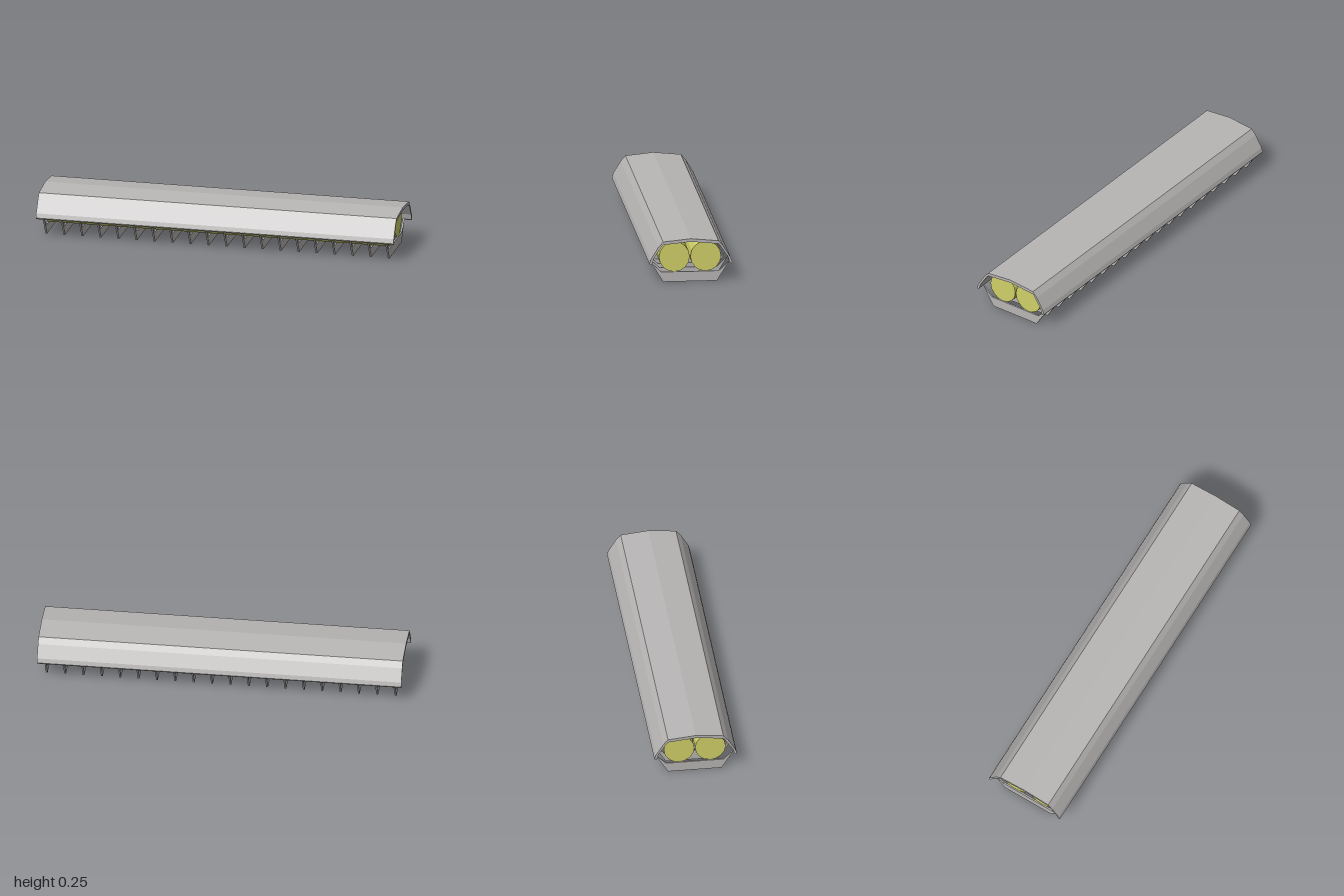
import * as THREE from 'three';

const grey = new THREE.MeshStandardMaterial({ color: 0xb8b6b5 });
grey.name = 'painted metal';
const yellow = new THREE.MeshStandardMaterial({ color: 0xd0d068 });
yellow.name = 'lamp yellow';
grey.flatShading = yellow.flatShading = true;

// Mirrored outline from half-profile [z, y] points, extruded along x and centred
function extrudeAlongX(outline, length) {
  const shape = new THREE.Shape(outline.map(([z, y]) => new THREE.Vector2(z, y)));
  const geo = new THREE.ExtrudeGeometry(shape, { depth: length, bevelEnabled: false });
  geo.translate(0, 0, -length / 2);
  geo.rotateY(Math.PI / 2);
  return geo;
}

const mirror = (points) => points.filter(([z]) => z !== 0).map(([z, y]) => [-z, y]).reverse();

export function createModel() {
  const model = new THREE.Group();
  model.name = 'lightFixture';

  const add = (name, geometry, material, x = 0, y = 0, z = 0) => {
    const mesh = new THREE.Mesh(geometry, material);
    mesh.name = name;
    mesh.position.set(x, y, z);
    model.add(mesh);
  };

  // Folded sheet cover, open at both ends and below
  const outer = [[0, 0.248], [0.152, 0.233], [0.178, 0.203], [0.219, 0.136], [0.227, 0.112], [0.222, 0.104]];
  const inner = [[0.213, 0.11], [0.203, 0.142], [0.161, 0.205], [0.151, 0.216], [0, 0.231]];
  const half = [...outer, ...inner];
  add('cover', extrudeAlongX([...half, ...mirror(half)], 2), grey);

  // Two sixteen-sided lamp tubes
  const tube = new THREE.CylinderGeometry(0.084, 0.084, 1.912, 16);
  tube.rotateZ(Math.PI / 2);
  for (const side of [1, -1]) {
    add(side > 0 ? 'frontTube' : 'backTube', tube, yellow, -0.002, 0.138, side * 0.086);
  }

  // Row of cross louvres hanging from the cover's lips
  const louvreHalf = [[0.147, 0], [0.217, 0.112], [0.157, 0.055]];
  const louvre = extrudeAlongX([...louvreHalf, ...mirror(louvreHalf)], 0.009);
  const count = 20;
  for (let i = 0; i < count; i++) {
    add('louvre', louvre, grey, -0.96 + (i * 1.915) / (count - 1));
  }

  return model;
}
